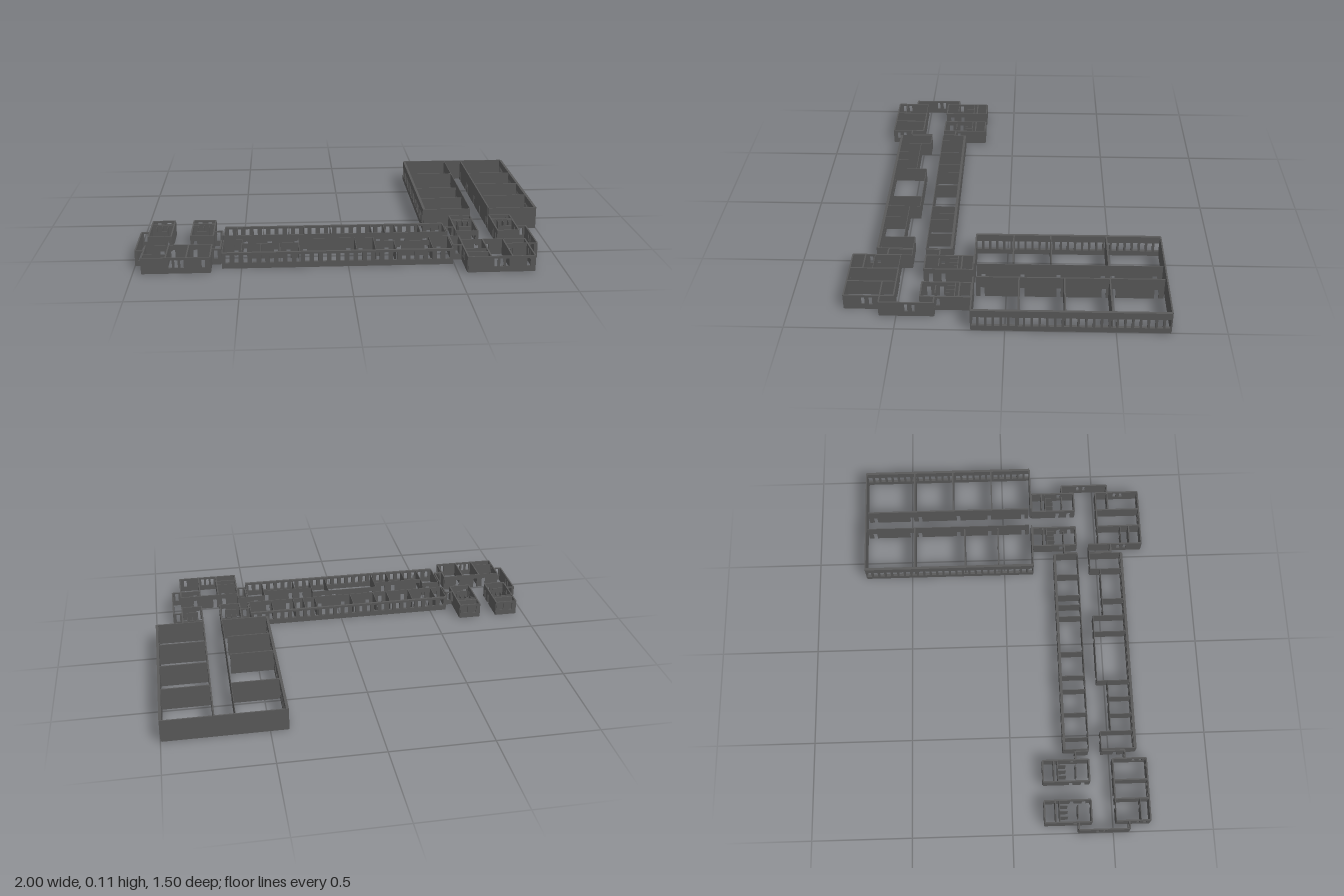
import * as THREE from 'three';

const material = new THREE.MeshStandardMaterial({ color: 0x595959, flatShading: true, side: THREE.DoubleSide });
const LOW = 0.077, HIGH = 0.112;

// Evenly spaced positions between a and b
const spread = (a, b, n) => Array.from({ length: n }, (_, i) => a + (b - a) * (i + 0.5) / n);

// Straight wall along x or z; doors and windows are given by world position along the wall
function wall(group, name, x1, z1, x2, z2, o = {}) {
  const { h = LOW, t = 0.007, doors = [], windows = [], winW = 0.02, sill = 0.027, head = 0.066 } = o;
  const doorW = 0.02, doorH = 0.052;
  const alongX = z1 === z2;
  const [a, b] = (alongX ? [x1, x2] : [z1, z2]).sort((p, q) => p - q);
  const s = new THREE.Shape();
  s.moveTo(a, 0);
  for (const d of [...doors].sort((p, q) => p - q)) {
    s.lineTo(d - doorW / 2, 0);
    s.lineTo(d - doorW / 2, doorH);
    s.lineTo(d + doorW / 2, doorH);
    s.lineTo(d + doorW / 2, 0);
  }
  s.lineTo(b, 0);
  s.lineTo(b, h);
  s.lineTo(a, h);
  s.closePath();
  for (const w of windows) {
    const p = new THREE.Path();
    p.moveTo(w - winW / 2, sill);
    p.lineTo(w - winW / 2, head);
    p.lineTo(w + winW / 2, head);
    p.lineTo(w + winW / 2, sill);
    p.closePath();
    s.holes.push(p);
  }
  const mesh = new THREE.Mesh(new THREE.ExtrudeGeometry(s, { depth: t, bevelEnabled: false }), material);
  mesh.name = name;
  if (alongX) mesh.position.z = z1 - t / 2;
  else {
    mesh.rotation.y = -Math.PI / 2;
    mesh.position.x = x1 + t / 2;
  }
  group.add(mesh);
}

function part(parent, name) {
  const g = new THREE.Group();
  g.name = name;
  parent.add(g);
  return g;
}

// Tall hall: two rows of rooms either side of an open corridor
function buildHall(root) {
  const g = part(root, 'hall');
  const x0 = 0.418, x1 = 0.993, c0 = 0.655, c1 = 0.753, back = -0.745, front = 0.153;
  const outer = { h: HIGH, t: 0.013, windows: spread(-0.747, 0.157, 26), winW: 0.024, head: 0.076 };
  const doors = [-0.7, -0.5, -0.455, -0.245, -0.075, 0.11];
  wall(g, 'hallRightWall', x0, back, x0, front, outer);
  wall(g, 'hallLeftWall', x1, back, x1, front, outer);
  wall(g, 'hallBackWall', x0, back, x1, back, { h: HIGH });
  wall(g, 'hallFrontWallRight', x0, front, c0, front, { h: HIGH });
  wall(g, 'hallFrontWallLeft', c1, front, x1, front, { h: HIGH });
  wall(g, 'hallCorridorRight', c0, -0.735, c0, 0.14, { h: HIGH, t: 0.003, doors });
  wall(g, 'hallCorridorLeft', c1, -0.735, c1, 0.14, { h: HIGH, doors });
  for (const z of [-0.48, -0.21, -0.03])
    wall(g, 'hallPartitionRight', x0, z, z === -0.48 ? c0 : 0.64, z, { h: HIGH });
  for (const z of [-0.48, -0.27, -0.06]) wall(g, 'hallPartitionLeft', c1, z, x1, z, { h: HIGH });
}

// Long low block with a central corridor
function buildLongBlock(root) {
  const g = part(root, 'longBlock');
  const x0 = -0.59, x1 = 0.493, back = 0.272, front = 0.631, cb = 0.396, cf = 0.459, niche = 0.513;
  const outer = { t: 0.013, windows: spread(x0 + 0.005, x1 - 0.005, 26) };
  wall(g, 'longBackWall', x0, back, x1, back, outer);
  wall(g, 'longFrontWall', x0, front, x1, front, outer);
  for (const x of [x0, x1]) {
    wall(g, 'endWallBack', x, back, x, cb, { t: 0.004 });
    wall(g, 'endWallFront', x, cf, x, front, { t: 0.004 });
  }
  wall(g, 'corridorBackWall', x0, cb, x1, cb,
    { t: 0.004, doors: [-0.56, -0.487, -0.37, -0.24, -0.17, -0.03, 0.1, 0.16, 0.222, 0.28, 0.39] });
  // Front side of the corridor steps back into two lobbies
  const steps = [
    [x0, -0.5, cf, [-0.53]],
    [-0.5, -0.23, niche, [-0.487, -0.34, -0.28]],
    [-0.23, 0.13, cf, [-0.2, 0.01, 0.07]],
    [0.13, 0.4, niche, [0.19, 0.25, 0.385]],
    [0.4, 0.547, cf, [0.45]]
  ];
  for (const [a, b, z, doors] of steps) wall(g, 'corridorFrontWall', a, z, b, z, { t: 0.003, doors });
  for (const x of [-0.53, -0.4, -0.275, -0.2, -0.07, 0.13, 0.195, 0.25, 0.37])
    wall(g, 'backPartition', x, back, x, cb, { t: 0.003 });
  for (const x of [-0.5, -0.23, 0.04, 0.13, 0.4]) wall(g, 'frontPartition', x, cf, x, front, { t: 0.003 });
  for (const x of [-0.41, -0.32, 0.225]) wall(g, 'lobbyPartition', x, niche, x, front, { t: 0.003 });
}

// Small back room with cubicles
function buildWashroom(root, x0, x1, inner) {
  const g = part(root, 'washroom');
  const z0 = 0.16, z1 = 0.392;
  const mid = (x0 + x1) / 2;
  for (const x of [x0, x1])
    wall(g, 'washroomSideWall', x, z0, x, z1,
      x === inner ? { doors: [0.3, 0.36] } : { windows: [0.31], winW: 0.018 });
  wall(g, 'washroomBackWall', x0, z0, x1, z0, { windows: [mid - 0.025, mid + 0.025] });
  wall(g, 'washroomFrontWall', x0, z1, x1, z1, { doors: [inner < mid ? x0 + 0.02 : x1 - 0.02] });
  wall(g, 'serviceWall', x0, 0.215, x1, 0.215);
  wall(g, 'cubicleBackWall', x0, 0.234, x1, 0.234, { t: 0.004 });
  for (const f of [0.25, 0.5, 0.75]) {
    const x = x0 + (x1 - x0) * f;
    wall(g, 'cubicleDivider', x, 0.234, x, 0.275, { t: 0.002 });
  }
  wall(g, 'screenWall', mid - 0.03, 0.325, mid + 0.03, 0.325, { t: 0.005 });
}

// End pavilion: two washrooms at the back, three rooms in front, outer porch wall
function buildPavilion(root, name, xs, front, porchX, linkX) {
  const g = part(root, name);
  const [a, b, c, d] = xs;
  const z = 0.513;
  buildWashroom(g, a, b, b);
  buildWashroom(g, c, d, c);

  // Front rooms
  wall(g, 'roomSideRight', a, z, a, front, { windows: [0.62, 0.655], winW: 0.016 });
  wall(g, 'roomDividerRight', b, z, b, front);
  wall(g, 'roomDividerLeft', c, z, c, front);
  wall(g, 'roomSideLeft', d, z, d, front, { windows: [0.62, 0.655], winW: 0.016 });
  wall(g, 'roomFrontWall', a, front, d, front,
    { windows: [b + 0.022, b + 0.049, b + 0.076, d - 0.03], winW: 0.016 });
  wall(g, 'roomInnerWallRight', a, z, b, z, { t: 0.003, doors: [b - 0.03] });
  wall(g, 'roomInnerWall', b, z, d, z, { doors: [b + 0.02, c + 0.03] });
  wall(g, 'roomCrossWall', a, 0.636, b, 0.636, { t: 0.003, doors: [b - 0.03] });

  // Porch on the open end
  const near = porchX < a ? a : d;
  const open = { windows: [(porchX + near) / 2], winW: 0.018, head: 0.07 };
  for (const pz of [0.327, 0.577]) wall(g, 'porchReturn', porchX, pz, near, pz, open);
  wall(g, 'porchEndWall', porchX, 0.327, porchX, 0.577, { windows: [0.419, 0.453], winW: 0.014 });

  // Link to the long block
  const side = linkX < a ? a : d;
  const link = { windows: [(linkX + side) / 2], winW: 0.018, head: 0.07 };
  for (const pz of [0.327, 0.577]) wall(g, 'linkWall', linkX, pz, side, pz, link);
  wall(g, 'linkEndBack', linkX, 0.327, linkX, 0.393);
  wall(g, 'linkEndFront', linkX, 0.459, linkX, 0.577, { doors: [0.53] });
  return g;
}

export function createModel() {
  const root = new THREE.Group();
  root.name = 'buildingWalls';
  buildHall(root);
  buildLongBlock(root);
  buildPavilion(root, 'rightPavilion', [-0.957, -0.847, -0.752, -0.643], 0.682, -0.9965, -0.6);
  const left = buildPavilion(root, 'leftPavilion', [0.547, 0.654, 0.753, 0.859], 0.744, 0.905, 0.5);

  // Extra divisions of the deeper left pavilion
  wall(left, 'roomCrossWall', 0.547, 0.682, 0.654, 0.682);
  wall(left, 'roomCrossWall', 0.753, 0.577, 0.859, 0.577, { doors: [0.78] });
  wall(left, 'linkRoomSide', 0.547, 0.459, 0.547, 0.513);
  return root;
}
